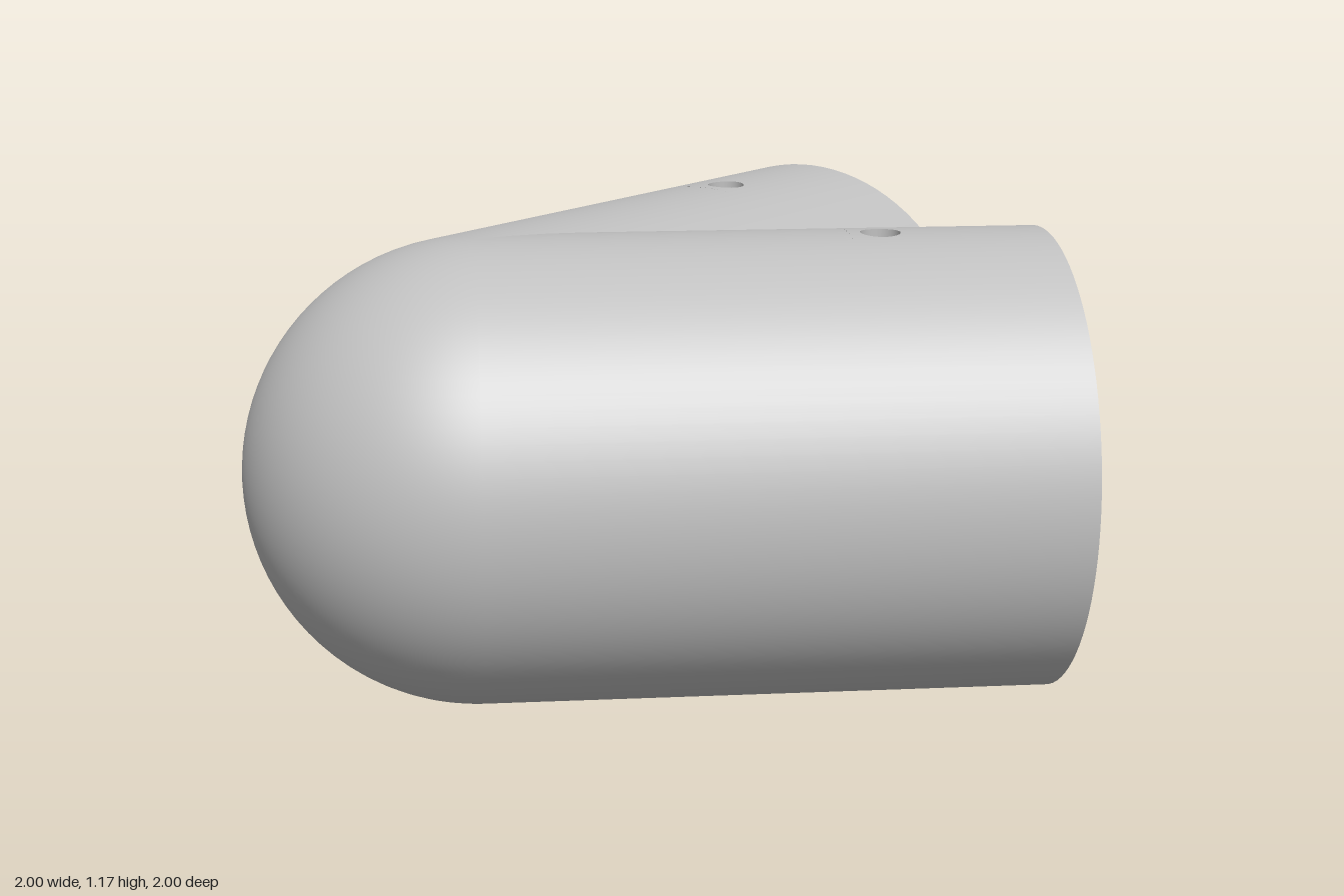
import * as THREE from 'three';

const OUTER = 0.585, INNER = 0.48, LENGTH = 1.415;   // tube radii and length from the elbow centre
const HOLE_U = 1.0, HOLE_R = 0.05;                   // screw hole on the top of each arm
const COLS = 96, PATCH = 2, HALF_U = 0.08;           // PATCH columns each side of the hole
const BEND = Math.PI / 4;

// Collects triangles with given normals, winding each one to agree with its normals
function surfaceBuilder() {
  const pos = [], nor = [];
  const tri = (...v) => {
    const [a, b, c] = v.map((k) => k.p);
    const face = b.clone().sub(a).cross(c.clone().sub(a));
    if (face.lengthSq() < 1e-16) return;
    const order = face.dot(v[0].n.clone().add(v[1].n).add(v[2].n)) < 0 ? [0, 2, 1] : [0, 1, 2];
    for (const i of order) {
      pos.push(...v[i].p.toArray());
      nor.push(...v[i].n.toArray());
    }
  };
  return {
    quad(a, b, c, d) { tri(a, b, c); tri(a, c, d); },
    build() {
      const g = new THREE.BufferGeometry();
      g.setAttribute('position', new THREE.Float32BufferAttribute(pos, 3));
      g.setAttribute('normal', new THREE.Float32BufferAttribute(nor, 3));
      return g;
    },
  };
}

// Tube wall along +x, mitred where it meets the other arm, with a round hole on top.
// side is the z direction of the other arm.
function tubeWall(radius, side) {
  const s = surfaceBuilder();
  const at = (angle, u) => {
    const n = new THREE.Vector3(0, Math.sin(angle), side * Math.cos(angle));
    return { p: n.clone().multiplyScalar(radius).setX(u), n };
  };
  const start = (angle) => Math.max(0, radius * Math.cos(angle) / Math.tan(BEND / 2));
  const strip = (a, b, a0, b0, a1, b1) => s.quad(at(a, a0), at(b, b0), at(b, b1), at(a, a1));
  const step = (Math.PI * 2) / COLS, top = COLS / 4;

  for (let i = 0; i < COLS; i++) {
    const a = i * step, b = (i + 1) * step;
    if (i >= top - PATCH && i < top + PATCH) {
      strip(a, b, start(a), start(b), HOLE_U - HALF_U, HOLE_U - HALF_U);
      strip(a, b, HOLE_U + HALF_U, HOLE_U + HALF_U, LENGTH, LENGTH);
    } else {
      strip(a, b, start(a), start(b), LENGTH, LENGTH);
    }
  }

  // Patch from a rectangle down to the circular hole
  const halfAngle = PATCH * step, N = 32, RINGS = 3;
  const patchPoint = (i, t) => {
    const phi = (i / N) * Math.PI * 2, c = Math.cos(phi), d = Math.sin(phi);
    const m = Math.max(Math.abs(c), Math.abs(d));
    const angle = THREE.MathUtils.lerp(Math.asin(HOLE_R * c / radius), halfAngle * c / m, t);
    const u = THREE.MathUtils.lerp(HOLE_R * d, HALF_U * d / m, t);
    return at(Math.PI / 2 - angle, HOLE_U + u);
  };
  for (let i = 0; i < N; i++) {
    for (let k = 0; k < RINGS; k++) {
      const t0 = k / RINGS, t1 = (k + 1) / RINGS;
      s.quad(patchPoint(i, t0), patchPoint(i + 1, t0), patchPoint(i + 1, t1), patchPoint(i, t1));
    }
  }
  return s.build();
}

// Wall of the screw hole, running from the bore to the outside
function holeWall() {
  const s = surfaceBuilder(), N = 32;
  const at = (i, radius) => {
    const phi = (i / N) * Math.PI * 2, c = Math.cos(phi), d = Math.sin(phi);
    const z = HOLE_R * c;
    return {
      p: new THREE.Vector3(HOLE_U + HOLE_R * d, Math.sqrt(radius * radius - z * z), z),
      n: new THREE.Vector3(-d, 0, -c),
    };
  };
  for (let i = 0; i < N; i++) s.quad(at(i, INNER), at(i + 1, INNER), at(i + 1, OUTER), at(i, OUTER));
  return s.build();
}

export function createModel() {
  const grey = new THREE.MeshStandardMaterial({ color: 0xc0c0c0, side: THREE.DoubleSide });
  grey.name = 'light grey';

  const model = new THREE.Group();
  model.name = 'angledPipeConnector';
  const add = (parent, name, geometry) => {
    const mesh = new THREE.Mesh(geometry, grey);
    mesh.name = name;
    parent.add(mesh);
    return mesh;
  };

  const joint = new THREE.Group();
  joint.name = 'joint';
  joint.position.set(1 - LENGTH, OUTER, LENGTH - 1);
  model.add(joint);

  // Rounded elbow: the part of each sphere lying behind both arms
  const lune = (r) => new THREE.SphereGeometry(r, 48, COLS / 2, -BEND, Math.PI - BEND);
  add(joint, 'elbowOutside', lune(OUTER));
  add(joint, 'elbowCavity', lune(INNER));

  // Two open arms, the second turned towards the back
  for (const [name, turn, side] of [['straightArm', 0, -1], ['angledArm', BEND, 1]]) {
    const arm = new THREE.Group();
    arm.name = name;
    arm.rotation.y = turn;
    joint.add(arm);
    add(arm, 'tubeOutside', tubeWall(OUTER, side));
    add(arm, 'tubeBore', tubeWall(INNER, side));
    add(arm, 'screwHole', holeWall());
    const rim = add(arm, 'endRim', new THREE.RingGeometry(INNER, OUTER, COLS));
    rim.rotation.y = Math.PI / 2;
    rim.position.x = LENGTH;
  }
  return model;
}
